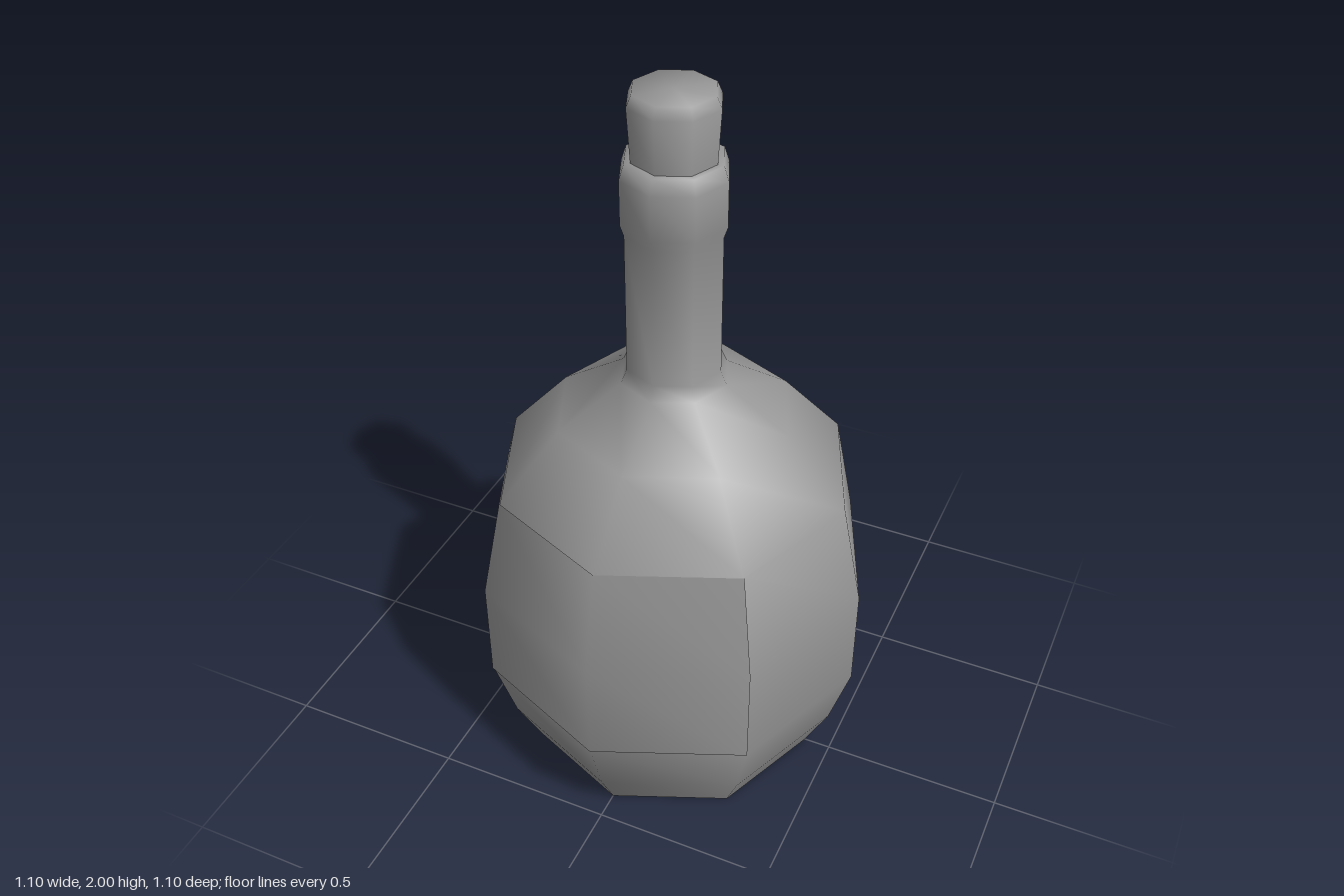
import * as THREE from 'three';

const SIDES = 8;

// Turned part from [radius, height] pairs, listed bottom to top
function turned(name, profile, material, start = 0, sides = SIDES) {
  const points = profile.map(([r, y]) => new THREE.Vector2(r, y));
  const geometry = new THREE.LatheGeometry(points, sides, start, (sides * Math.PI * 2) / SIDES);
  const mesh = new THREE.Mesh(geometry, material);
  mesh.name = name;
  return mesh;
}

// Smooth normals in which both neighbouring bands count equally, whatever their length
function softenBands(mesh, profile) {
  const slopes = profile.slice(1).map(([r, y], i) =>
    new THREE.Vector2(y - profile[i][1], profile[i][0] - r).normalize());
  const normals = mesh.geometry.attributes.normal;
  for (let i = 0; i <= SIDES; i++) {
    const angle = (i / SIDES) * Math.PI * 2;
    profile.forEach((_, j) => {
      const below = slopes[Math.max(j - 1, 0)];
      const above = slopes[Math.min(j, slopes.length - 1)];
      const n = below.clone().add(above).normalize();
      normals.setXYZ(i * profile.length + j, n.x * Math.sin(angle), n.y, n.x * Math.cos(angle));
    });
  }
  return mesh;
}

export function createModel() {
  const group = new THREE.Group();
  group.name = 'bottle';
  const grey = new THREE.MeshStandardMaterial({ color: 0x989898 });
  const thin = new THREE.MeshStandardMaterial({ color: 0x989898, side: THREE.DoubleSide });

  // Round belly, shoulder, neck and thickened lip turning in to the stopper
  const glass = [
    [0.425, 0], [0.49, 0.13], [0.547, 0.32], [0.547, 0.62], [0.487, 0.91],
    [0.32, 1.1], [0.147, 1.21], [0.13, 1.25], [0.13, 1.64], [0.14, 1.67],
    [0.14, 1.79], [0.127, 1.83], [0.1, 1.83],
  ];
  group.add(softenBands(turned('glassBody', glass, grey), glass));

  // Flat underside
  const base = new THREE.Mesh(new THREE.CircleGeometry(0.425, SIDES), grey);
  base.name = 'base';
  base.rotation.x = Math.PI / 2;
  group.add(base);

  // Stopper with a bevelled top
  const cork = [[0.11, 1.82], [0.119, 1.97], [0.106, 2], [0, 2]];
  group.add(softenBands(turned('stopper', cork, grey), cork));

  // Label wrapped round three of the eight sides, shaded as its own patch
  const label = turned('label', [[0.55, 0.32], [0.55, 0.62], [0.49, 0.91]], thin, -Math.PI / 2, 3);
  label.geometry.computeVertexNormals();
  group.add(label);

  return group;
}
